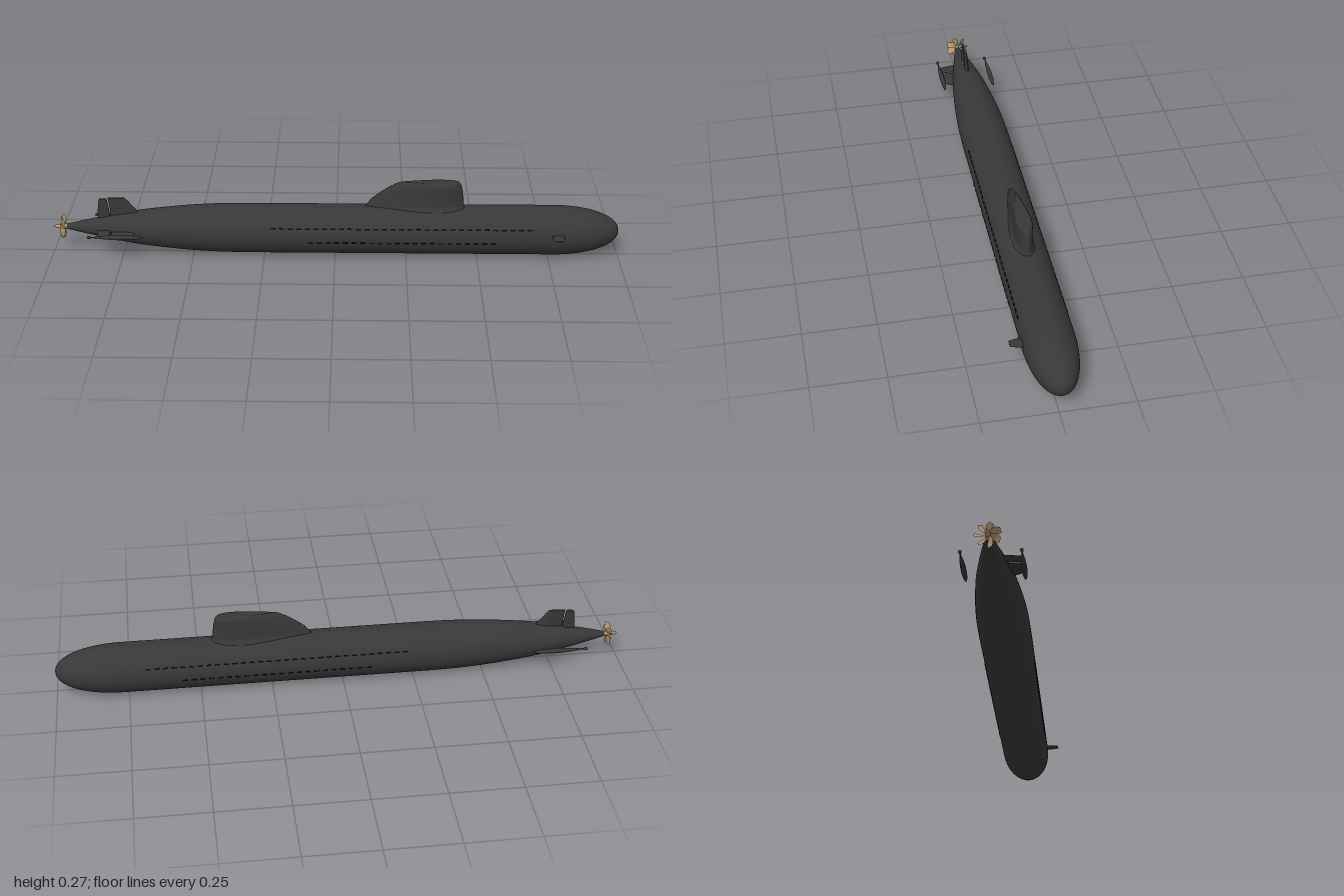
import * as THREE from 'three';

const hullMat = new THREE.MeshStandardMaterial({ color: 0x383838 });
hullMat.name = 'hull charcoal';
const slotMat = new THREE.MeshStandardMaterial({ color: 0x080808 });
slotMat.name = 'slot black';
const brassMat = new THREE.MeshStandardMaterial({ color: 0xb4946c, side: THREE.DoubleSide });
brassMat.name = 'propeller brass';

const AXIS_Y = 0.0875, AXIS_Z = -0.0125, R = 0.0875;

function add(parent, name, geometry, material = hullMat) {
  const mesh = new THREE.Mesh(geometry, material);
  mesh.name = name;
  parent.add(mesh);
  return mesh;
}

// Body of revolution along x; profile is [x, radius] from stern to bow
function spun(profile, sides) {
  const g = new THREE.LatheGeometry(profile.map(([x, r]) => new THREE.Vector2(r, x)), sides);
  return g.rotateZ(-Math.PI / 2);
}

// Foil half thickness, s = 0 at the nose and 1 at the tail
const foil = (s) => 10 * (0.2969 * Math.sqrt(s) - 0.126 * s - 0.3516 * s ** 2 + 0.2843 * s ** 3 - 0.1036 * s ** 4);

// Foil-shaped loft growing along y; layers are [y, aft x, fore x, half thickness]
function foilLoft(layers, sides = 32) {
  const pos = [], index = [];
  const ring = ([y, aft, fore, half]) => {
    for (let i = 0; i < sides; i++) {
      const a = (i / sides) * Math.PI * 2;
      const u = (1 + Math.cos(a)) / 2;
      pos.push(aft + (fore - aft) * u, y, -Math.sign(Math.sin(a)) * half * foil(1 - u));
    }
  };
  layers.forEach(ring);
  for (let j = 0; j < layers.length - 1; j++) {
    for (let i = 0; i < sides; i++) {
      const a = j * sides + i, b = j * sides + ((i + 1) % sides);
      index.push(a, b, a + sides, b, b + sides, a + sides);
    }
  }
  // Tip cap with its own vertices for a crisp edge
  const top = layers[layers.length - 1], start = layers.length * sides;
  ring(top);
  pos.push((top[1] + top[2]) / 2, top[0], 0);
  for (let i = 0; i < sides; i++) index.push(start + sides, start + i, start + ((i + 1) % sides));
  const g = new THREE.BufferGeometry();
  g.setAttribute('position', new THREE.Float32BufferAttribute(pos, 3));
  g.setIndex(index);
  g.computeVertexNormals();
  return g;
}

// Curved, pitched propeller blade
function bladeGeometry() {
  const g = new THREE.PlaneGeometry(1, 1, 4, 8);
  const p = g.attributes.position;
  for (let i = 0; i < p.count; i++) {
    const t = p.getY(i) + 0.5, c = p.getX(i);
    const r = 0.006 + 0.036 * t;
    const chord = 0.012 + 0.013 * Math.sin(Math.PI * t * 0.85);
    const pitch = 1.0 - 0.4 * t;
    const across = chord * c * Math.cos(pitch) + 0.012 * t * t;
    p.setXYZ(i, chord * c * Math.sin(pitch), r * Math.cos(across / r), r * Math.sin(across / r));
  }
  g.computeVertexNormals();
  return g;
}

export function createModel() {
  const model = new THREE.Group();
  model.name = 'submarine';
  const boat = new THREE.Group();
  boat.name = 'boat';
  boat.position.set(0, AXIS_Y, AXIS_Z);
  model.add(boat);

  // Hull: tail cone, parallel middle, elliptical bow
  const tail = new THREE.SplineCurve([
    [-0.96, 0.007], [-0.9, 0.021], [-0.8, 0.042], [-0.7, 0.06],
    [-0.6, 0.072], [-0.5, 0.081], [-0.4, 0.086], [-0.3, R],
  ].map(([x, r]) => new THREE.Vector2(x, r))).getPoints(28).map((v) => [v.x, Math.min(v.y, R)]);
  const bow = [];
  for (let i = 0; i <= 20; i++) {
    const a = (i / 20) * Math.PI / 2;
    bow.push([0.77 + 0.23 * Math.sin(a), R * Math.pow(Math.max(Math.cos(a), 0), 0.92)]);
  }
  add(boat, 'hull', spun([[-0.96, 0], ...tail, ...bow], 64));

  // Sail with a flared foot and rounded top edge
  const sail = add(boat, 'sail', foilLoft([
    [0.070, 0.10, 0.465, 0.042],
    [0.083, 0.105, 0.462, 0.036],
    [0.090, 0.11, 0.457, 0.030],
    [0.098, 0.115, 0.454, 0.0275],
    [0.120, 0.133, 0.453, 0.0275],
    [0.145, 0.165, 0.450, 0.0275],
    [0.165, 0.195, 0.446, 0.0275],
    [0.174, 0.213, 0.443, 0.0265],
    [0.180, 0.225, 0.438, 0.0235],
    [0.182, 0.235, 0.432, 0.0190],
  ], 48));
  sail.position.x = -0.003;

  // Upper stern fin with hinged rudder
  add(boat, 'upperFin', foilLoft([
    [0.03, -0.795, -0.69, 0.007], [0.06, -0.795, -0.698, 0.007],
    [0.10, -0.80, -0.73, 0.006], [0.112, -0.802, -0.742, 0.005],
  ]));
  add(boat, 'upperRudder', foilLoft([
    [0.03, -0.84, -0.797, 0.005], [0.06, -0.84, -0.798, 0.005],
    [0.10, -0.835, -0.804, 0.005], [0.108, -0.832, -0.806, 0.004],
  ]));

  // Left stabilizer and its flap
  add(boat, 'stabilizer', foilLoft([
    [0.03, -0.787, -0.69, 0.005], [0.094, -0.787, -0.72, 0.004],
  ]).rotateX(Math.PI / 2));
  add(boat, 'stabilizerFlap', foilLoft([
    [0.025, -0.842, -0.792, 0.004], [0.094, -0.83, -0.792, 0.003],
  ]).rotateX(Math.PI / 2));

  // Slender pods either side of the stern
  for (const side of [1, -1]) {
    const pod = add(boat, side > 0 ? 'leftPod' : 'rightPod', spun([
      [-0.865, 0], [-0.865, 0.006], [-0.858, 0.005], [-0.852, 0.002], [-0.835, 0.003],
      [-0.80, 0.007], [-0.76, 0.009], [-0.72, 0.0085], [-0.69, 0.006], [-0.675, 0.003], [-0.668, 0],
    ], 16));
    pod.position.set(0, 0.002, side * 0.094);
  }

  // Left bow plane
  const plane = add(boat, 'bowPlane', foilLoft([
    [0.07, 0.755, 0.802, 0.0025], [0.1, 0.758, 0.80, 0.0022], [0.1275, 0.764, 0.792, 0.0018],
  ], 20).rotateX(Math.PI / 2));
  plane.position.y = 0.015;

  // Rows of flood slots along both flanks
  const slot = new THREE.BoxGeometry(0.018, 0.005, 0.003);
  for (const side of [1, -1]) {
    for (const [y, from, to] of [[0.034, -0.215, 0.68], [-0.017, -0.085, 0.555]]) {
      const count = Math.round((to - from) / 0.03);
      const angle = Math.asin(y / R);
      for (let i = 0; i <= count; i++) {
        const mesh = add(boat, 'floodSlot', slot, slotMat);
        mesh.position.set(from + ((to - from) * i) / count, y, side * R * Math.cos(angle));
        mesh.rotation.x = -side * angle;
      }
    }
  }

  // Propeller: hub and seven blades
  const propeller = new THREE.Group();
  propeller.name = 'propeller';
  propeller.position.x = -0.965;
  boat.add(propeller);
  add(propeller, 'hub', spun([[-0.035, 0], [-0.03, 0.004], [-0.015, 0.008], [0.015, 0.009], [0.018, 0]], 20), brassMat);
  const blade = bladeGeometry();
  for (let i = 0; i < 7; i++) {
    add(propeller, 'blade', blade, brassMat).rotation.x = (i / 7) * Math.PI * 2;
  }
  return model;
}
